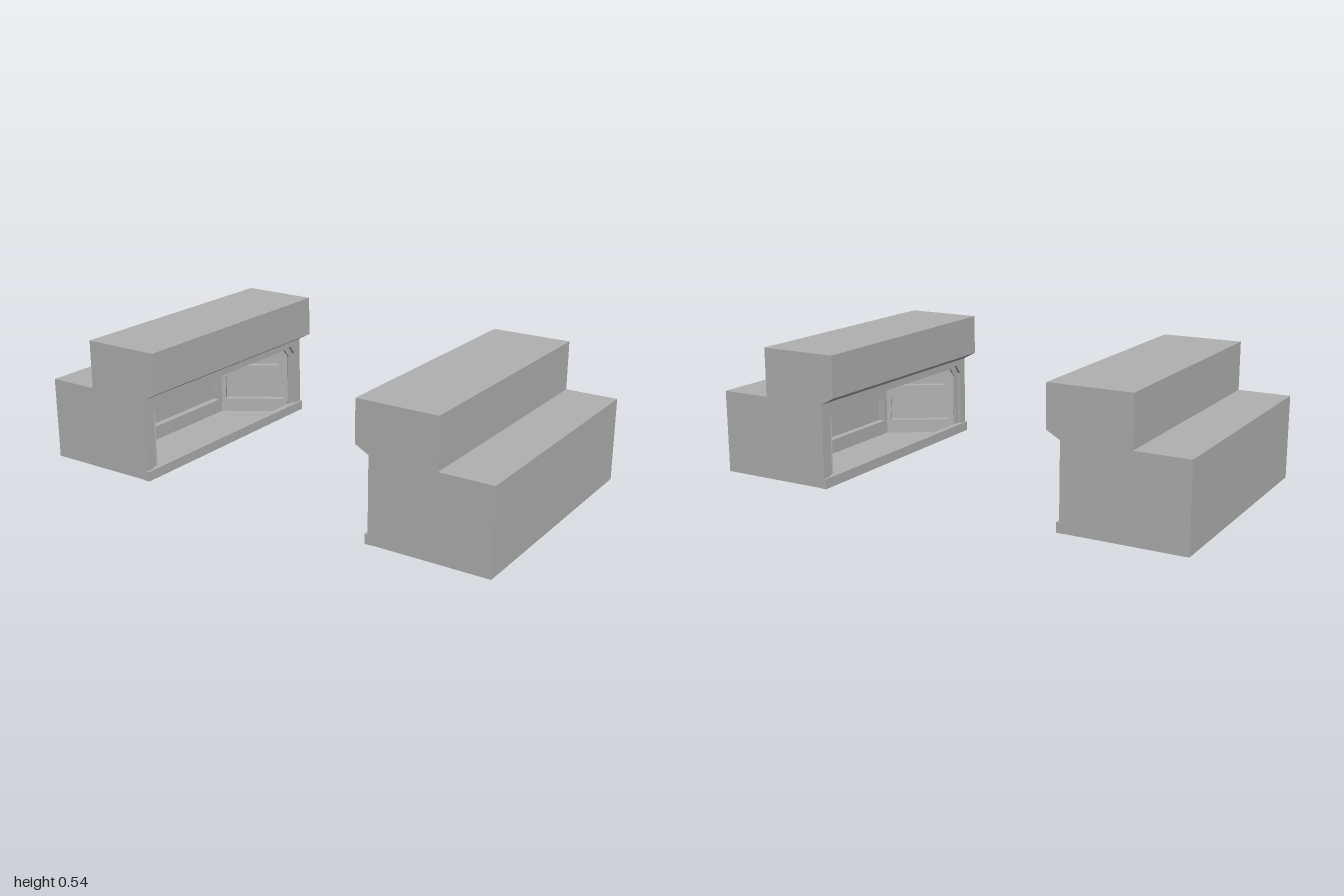
import * as THREE from 'three';

const grey = new THREE.MeshStandardMaterial({ color: 0xb0b0b0 });
grey.name = 'grey';

const HALF = 0.5225; // half length along z

function polygon(points) {
  return new THREE.Shape(points.map(([x, y]) => new THREE.Vector2(x, y)));
}

function rect(x0, x1, y0, y1) {
  return polygon([[x0, y0], [x1, y0], [x1, y1], [x0, y1]]);
}

function extrude(shape, depth) {
  return new THREE.ExtrudeGeometry(shape, { depth, bevelEnabled: false });
}

function add(group, name, geometry) {
  const mesh = new THREE.Mesh(geometry, grey);
  mesh.name = name;
  group.add(mesh);
  return mesh;
}

// Frame standing in the opening, with clipped upper corners
function frame(half, top, x, depth) {
  const shape = rect(-0.495, 0.495, 0.002, 0.332);
  shape.holes.push(polygon([
    [-half, 0.038], [half, 0.038], [half, top - 0.04],
    [half - 0.03, top], [-half + 0.03, top], [-half, top - 0.04],
  ]));
  return extrude(shape, depth).rotateY(Math.PI / 2).translate(x, 0, 0);
}

// Room wall between two floor points (x, z), with a long recess and a thin groove
function roomWall(group, name, a, b) {
  const dx = b[0] - a[0], dz = b[1] - a[1];
  const length = Math.hypot(dx, dz), h = length / 2;
  const cx = (a[0] + b[0]) / 2, cz = (a[1] + b[1]) / 2;
  const angle = Math.atan2(-dz, dx);
  const panel = rect(-h, h, 0.003, 0.32);
  panel.holes.push(rect(-h + 0.02, h - 0.02, 0.065, 0.17));
  panel.holes.push(rect(-h + 0.04, h - 0.04, 0.225, 0.235));
  const place = (g) => g.rotateY(angle).translate(cx, 0, cz);
  add(group, name, place(extrude(panel, 0.03)));
  add(group, name + 'Backing', place(extrude(rect(-h, h, 0.003, 0.32), 0.008).translate(0, 0, 0.03)));
}

function createUnit(name) {
  const unit = new THREE.Group();
  unit.name = name;

  // Stepped outline shared by the shell and the end walls
  const outline = [
    [0.515, 0], [1, 0], [1, 0.337], [0.787, 0.337], [0.787, 0.535],
    [0.46, 0.535], [0.46, 0.367], [0.515, 0.337],
  ];

  // Hollow shell, open on the inner side
  const hollow = [[0.515, 0.318], [0.85, 0.318], [0.85, 0.005], [0.515, 0.005]];
  add(unit, 'shell', extrude(polygon([...outline, ...hollow]), 0.99).translate(0, 0, -0.495));

  // Solid end walls
  const thick = HALF - 0.495;
  for (const [label, z] of [['frontEndWall', 0.495], ['backEndWall', -HALF]]) {
    add(unit, label, extrude(polygon(outline), thick).translate(0, 0, z));
  }

  // Sill along the foot of the opening
  add(unit, 'sill', new THREE.BoxGeometry(0.025, 0.04, 1.05).translate(0.5175, 0.02, 0));

  // Stepped frame around the opening
  add(unit, 'outerFrame', frame(0.483, 0.315, 0.516, 0.012));
  add(unit, 'innerFrame', frame(0.455, 0.303, 0.528, 0.008));

  // Room walls, splayed towards the opening
  roomWall(unit, 'frontRoomWall', [0.53, 0.445], [0.785, 0.285]);
  roomWall(unit, 'rearRoomWall', [0.785, 0.285], [0.785, -0.285]);
  roomWall(unit, 'backRoomWall', [0.785, -0.285], [0.53, -0.445]);
  return unit;
}

export function createModel() {
  const model = new THREE.Group();
  model.name = 'steppedUnits';
  const left = createUnit('leftUnit');
  const right = createUnit('rightUnit');
  right.rotation.y = Math.PI; // facing the other unit
  model.add(left, right);
  return model;
}
